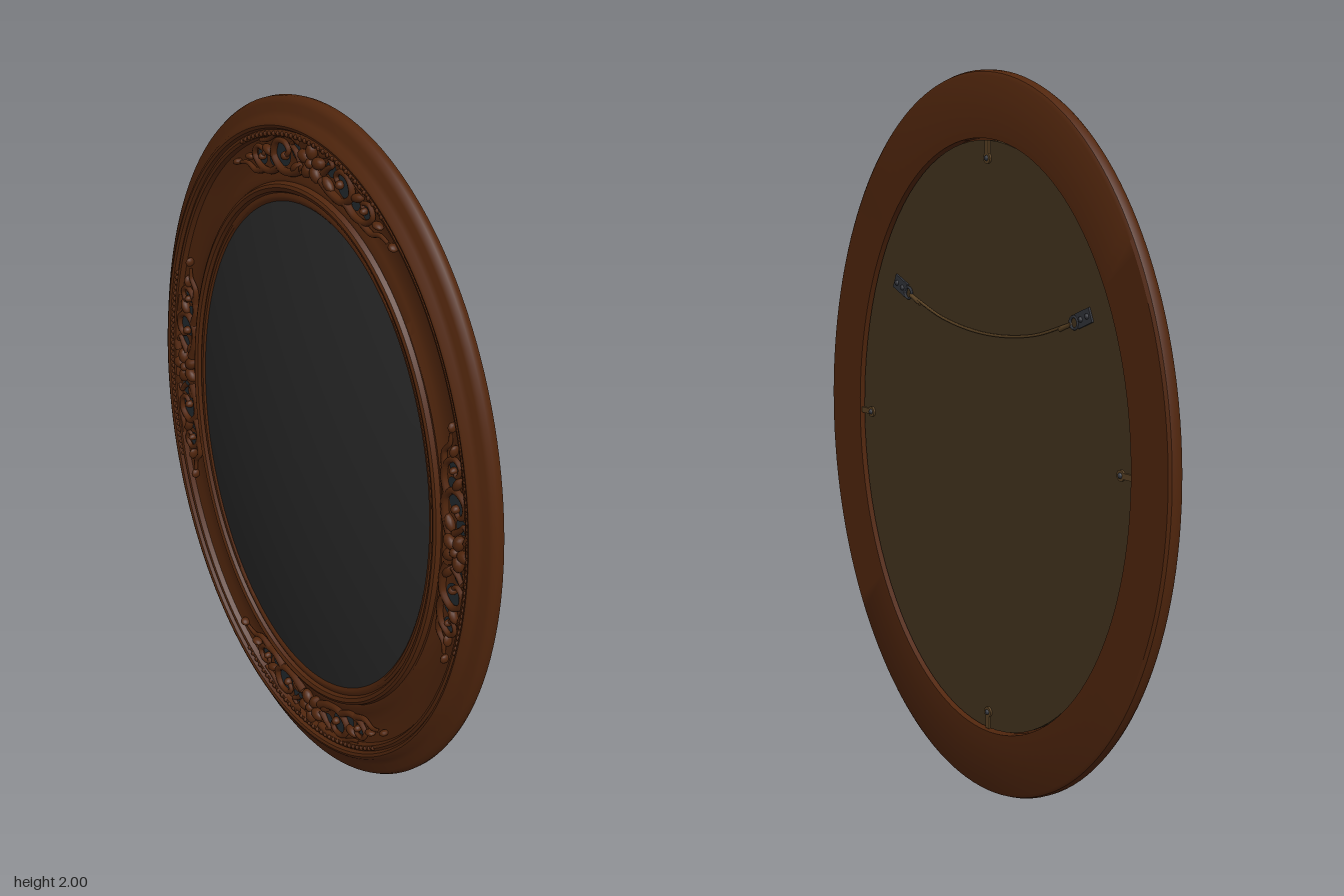
import * as THREE from 'three';
import { toCreasedNormals } from 'three/addons/utils/BufferGeometryUtils.js';

const wood = new THREE.MeshStandardMaterial({ color: 0x51260d });
wood.name = 'walnut';
const glassMat = new THREE.MeshStandardMaterial({ color: 0x2a2a2a });
glassMat.name = 'dark glass';
const patina = new THREE.MeshStandardMaterial({ color: 0x242b30 });
patina.name = 'dark patina';
const backing = new THREE.MeshStandardMaterial({ color: 0x44341f });
backing.name = 'backing board';
const brass = new THREE.MeshStandardMaterial({ color: 0x5a4224 });
brass.name = 'aged brass';
const steel = new THREE.MeshStandardMaterial({ color: 0x32343a });
steel.name = 'dark steel';

function add(parent, name, geometry, material, x = 0, y = 0, z = 0) {
  const m = new THREE.Mesh(geometry, material);
  m.name = name;
  m.position.set(x, y, z);
  parent.add(m);
  return m;
}

// Oval moulding: profile points are [inward fraction, z]; 0 = outer rim, 1 = opening
function ovalFrame(profile) {
  const g = new THREE.LatheGeometry(profile.map(([s, z]) => new THREE.Vector2(2 - s, z)), 144);
  g.rotateX(Math.PI / 2);
  const p = g.attributes.position;
  for (let i = 0; i < p.count; i++) {
    const x = p.getX(i), y = p.getY(i), r = Math.hypot(x, y), s = 2 - r;
    p.setXY(i, (x / r) * (0.765 - 0.24 * s), (y / r) * (1 - 0.28 * s));
  }
  g.scale(100, 100, 100);
  return toCreasedNormals(g, 0.6).scale(0.01, 0.01, 0.01);
}

// Carving coordinates: u along the oval band, v outward from its middle
function onBand(t0, u, v, z) {
  const a = 0.635, b = 0.849;
  const t = t0 + u / Math.hypot(a * Math.sin(t0), b * Math.cos(t0));
  const n = new THREE.Vector2(Math.cos(t) / a, Math.sin(t) / b).normalize();
  return new THREE.Vector3(a * Math.cos(t) + n.x * v, b * Math.sin(t) + n.y * v, z);
}

// Tube that thins from its start to its end
function taperedTube(points, r0, r1) {
  const curve = new THREE.CatmullRomCurve3(points), segs = 32, sides = 8;
  const g = new THREE.TubeGeometry(curve, segs, r0, sides);
  const p = g.attributes.position, q = new THREE.Vector3(), c = new THREE.Vector3();
  for (let i = 0; i < p.count; i++) {
    const k = Math.floor(i / (sides + 1)) / segs;
    curve.getPointAt(k, c);
    q.fromBufferAttribute(p, i).sub(c).multiplyScalar(1 + (r1 / r0 - 1) * k).add(c);
    p.setXYZ(i, q.x, q.y, q.z);
  }
  return g;
}

const scrolls = [
  { r: 0.013, pts: [[0.045, -0.03], [0.1, -0.047], [0.15, -0.04], [0.175, 0], [0.15, 0.034], [0.115, 0.032], [0.102, 0.01], [0.122, -0.006]] },
  { r: 0.011, pts: [[0.16, -0.035], [0.21, -0.042], [0.25, -0.022], [0.262, 0.014], [0.238, 0.03], [0.215, 0.012], [0.23, 0]] },
  { r: 0.011, pts: [[0.04, 0.04], [0.08, 0.053], [0.14, 0.054], [0.19, 0.04], [0.22, 0.042]] },
  { r: 0.01, pts: [[0.235, -0.035], [0.28, -0.028], [0.305, 0], [0.335, 0.012]] },
  { r: 0.01, pts: [[0.05, -0.01], [0.07, 0.015], [0.085, 0.03], [0.07, 0.04]] },
];
const leaves = [[0.195, 0.012, 0.024, 0.012, 0.7], [0.075, -0.03, 0.026, 0.013, -0.5],
  [0.285, 0.012, 0.018, 0.009, 0.4], [0.35, 0.02, 0.014, 0.009, 0.2], [0.122, -0.004, 0.012, 0.012, 0], [0.23, 0, 0.01, 0.01, 0]];
const hollows = [[0.138, 0, 0.034], [0.075, 0.012, 0.022], [0.238, 0, 0.022], [0.19, -0.015, 0.018]];

function carving(t0) {
  const g = new THREE.Group();
  const ball = new THREE.SphereGeometry(1, 12, 8);
  const lump = (name, u, v, z, ru, rv, rz, turn) => {
    const m = add(g, name, ball, wood);
    m.position.copy(onBand(t0, u, v, z));
    m.scale.set(ru, rv, rz);
    const d = onBand(t0, u + 0.001, v, z).sub(m.position);
    m.rotation.z = Math.atan2(d.y, d.x) - turn;
  };
  // Five-petal flower
  for (let i = 0; i < 5; i++) {
    const a = Math.PI / 2 + (i * Math.PI * 2) / 5;
    lump('petal', 0.032 * Math.cos(a), 0.032 * Math.sin(a), -0.004, 0.024, 0.017, 0.016, a);
  }
  lump('flowerHeart', 0, 0, 0, 0.014, 0.014, 0.015, 0);
  // Mirrored scrolls, leaves and dark hollows
  for (const side of [1, -1]) {
    for (const { r, pts } of scrolls)
      add(g, 'scroll', taperedTube(pts.map(([u, v]) => onBand(t0, side * u, v, -0.005)), r, r * 0.5), wood);
    for (const [u, v, ru, rv, turn] of leaves) lump('leaf', side * u, v, -0.006, ru, rv, 0.014, side * turn);
    for (const [u, v, r] of hollows)
      add(g, 'hollow', new THREE.CircleGeometry(r, 20), patina).position.copy(onBand(t0, side * u, v, -0.0112));
  }
  // Bead row along the outer edge
  const bead = new THREE.SphereGeometry(0.007, 6, 4);
  for (let i = -16; i <= 16; i++)
    add(g, 'bead', bead, wood).position.copy(onBand(t0, i * 0.018, 0.056, 0.003));
  return g;
}

export function createModel() {
  const model = new THREE.Group();
  const body = new THREE.Group();
  body.name = 'ovalMirror';
  body.position.y = 1;
  model.add(body);

  // Moulded frame with a rabbet behind
  add(body, 'frame', ovalFrame([
    [0.64, -0.03], [0.64, -0.062], [0.05, -0.062], [0.015, -0.056], [0, -0.045], [0, -0.032], [0.02, -0.022],
    [0.06, -0.016], [0.13, -0.011], [0.18, -0.004], [0.22, 0.01], [0.25, 0.013], [0.28, 0.01], [0.3, 0.001],
    [0.33, 0.005], [0.36, 0.003], [0.38, -0.011], [0.5, -0.016], [0.62, -0.016], [0.7, -0.012], [0.77, -0.003],
    [0.8, -0.004], [0.82, 0.009], [0.85, 0.013], [0.89, 0.009], [0.91, 0], [0.94, 0.004], [0.97, 0.003],
    [1, -0.004], [1, -0.03], [0.64, -0.03],
  ]), wood);

  // Domed glass
  const dome = [];
  for (let i = 0; i <= 16; i++) {
    const r = 1 - i / 16;
    dome.push(new THREE.Vector2(r, 0.062 - 0.064 * r * r));
  }
  const domeGeo = new THREE.LatheGeometry(dome, 96).rotateX(Math.PI / 2).scale(0.528, 0.723, 1);
  add(body, 'glass', domeGeo, glassMat);

  // Backing board
  const board = new THREE.CylinderGeometry(1, 1, 0.012, 96).rotateX(Math.PI / 2).scale(0.606, 0.815, 1);
  add(body, 'backingBoard', board, backing, 0, 0, -0.044);

  // Carved ornaments at top, bottom and both sides
  ['leftCarving', 'topCarving', 'rightCarving', 'bottomCarving'].forEach((name, i) => {
    const c = carving((i * Math.PI) / 2);
    c.name = name;
    body.add(c);
  });

  // Turn clips holding the board
  for (let i = 0; i < 4; i++) {
    const a = (i * Math.PI) / 2, clip = new THREE.Group();
    clip.name = 'turnClip';
    clip.position.set(0.585 * Math.cos(a), 0.79 * Math.sin(a), -0.054);
    clip.rotation.z = a;
    add(clip, 'clipArm', new THREE.BoxGeometry(0.05, 0.016, 0.006), brass);
    add(clip, 'clipFoot', new THREE.CylinderGeometry(0.015, 0.015, 0.006, 16).rotateX(Math.PI / 2), brass, -0.022);
    add(clip, 'clipScrew', new THREE.SphereGeometry(0.008, 10, 6), steel, -0.022, 0, -0.002);
    body.add(clip);
  }

  // Hangers and sagging wire
  for (const side of [1, -1]) {
    const h = new THREE.Group();
    h.name = side > 0 ? 'leftHanger' : 'rightHanger';
    h.position.set(side * 0.41, 0.385, -0.053);
    h.rotation.z = side > 0 ? Math.PI + 0.4 : -0.4;
    add(h, 'hangerPlate', new THREE.BoxGeometry(0.06, 0.04, 0.006), steel);
    for (const x of [-0.016, 0.012]) add(h, 'hangerScrew', new THREE.SphereGeometry(0.008, 10, 6), steel, x, 0, -0.002);
    add(h, 'hangerRing', new THREE.TorusGeometry(0.016, 0.004, 6, 20), steel, 0.042, 0, -0.002);
    add(h, 'wireTwist', new THREE.CylinderGeometry(0.006, 0.006, 0.05, 8).rotateZ(Math.PI / 2), brass, 0.08, 0, -0.002);
    body.add(h);
  }
  const wire = new THREE.CatmullRomCurve3([[-0.36, 0.365], [-0.2, 0.315], [0, 0.295], [0.2, 0.315], [0.36, 0.365]]
    .map(([x, y]) => new THREE.Vector3(x, y, -0.055)));
  add(body, 'hangingWire', new THREE.TubeGeometry(wire, 32, 0.004, 6), brass);

  return model;
}
